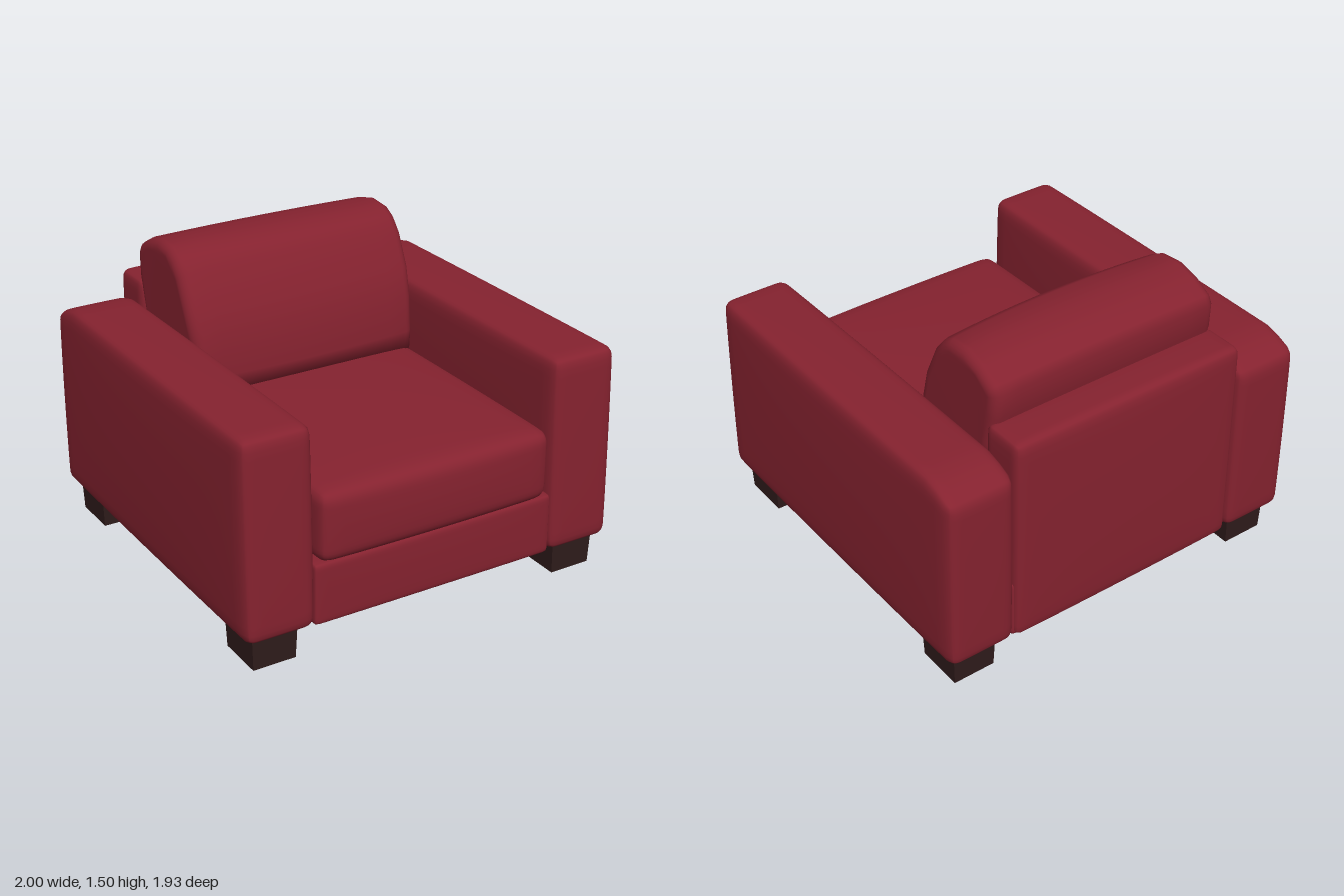
import * as THREE from 'three';
import { mergeVertices } from 'three/addons/utils/BufferGeometryUtils.js';

// Weld vertices so the normals are smooth all over
function smooth(geo) {
  geo.deleteAttribute('uv');
  geo.deleteAttribute('normal');
  geo.clearGroups();
  const merged = mergeVertices(geo, 1e-4);
  merged.computeVertexNormals();
  return merged;
}

// Move every vertex of a geometry by a rule
function deform(geo, rule) {
  const pos = geo.attributes.position;
  const v = new THREE.Vector3();
  for (let i = 0; i < pos.count; i++) {
    v.fromBufferAttribute(pos, i);
    rule(v);
    pos.setXYZ(i, v.x, v.y, v.z);
  }
  return geo;
}

// Upholstered block between two corners, with rounded edges and swelling faces
function paddedBox(min, max, radius, bulge, extraRule) {
  const lo = new THREE.Vector3(...min), hi = new THREE.Vector3(...max);
  const half = hi.clone().sub(lo).multiplyScalar(0.5);
  const centre = lo.clone().add(hi).multiplyScalar(0.5);
  const inner = half.clone().subScalar(radius);
  const outer = inner.clone().negate();
  const ease = (u) => Math.sin((u * Math.PI) / 2);
  const falloff = (u) => Math.max(0, 1 - u * u);
  const geo = new THREE.BoxGeometry(2, 2, 2, 20, 20, 20);
  deform(geo, (v) => {
    v.set(ease(v.x), ease(v.y), ease(v.z)).multiply(half);
    const core = v.clone().clamp(outer, inner);
    v.sub(core).normalize().multiplyScalar(radius).add(core);
    const n = v.clone().divide(half);
    const fx = falloff(n.x), fy = falloff(n.y), fz = falloff(n.z);
    v.x += bulge[0] * n.x * Math.sqrt(fy * fz);
    v.y += bulge[1] * n.y * Math.sqrt(fx * fz);
    v.z += bulge[2] * n.z * Math.sqrt(fx * fy);
    v.add(centre);
    if (extraRule) extraRule(v);
  });
  return smooth(geo);
}

// Leaning back cushion: side profile swept across the seat with soft ends
function backCushionGeometry() {
  const w = 0.62, bevel = 0.05;
  const profile = [
    [-0.19, 0.79], [-0.185, 0.9], [-0.2, 1.08], [-0.245, 1.22], [-0.32, 1.38], [-0.38, 1.45],
    [-0.44, 1.485], [-0.55, 1.495], [-0.66, 1.465], [-0.75, 1.415], [-0.775, 1.37],
    [-0.77, 1.25], [-0.73, 1.1], [-0.69, 0.79],
  ];
  // Shape x is -z, so that the sweep runs along the x axis
  const shape = new THREE.Shape(profile.map(([z, y]) => new THREE.Vector2(-z, y)));
  const geo = new THREE.ExtrudeGeometry(shape, {
    depth: 2 * (w - bevel), steps: 12, bevelEnabled: true,
    bevelThickness: bevel, bevelSize: bevel, bevelOffset: -bevel, bevelSegments: 5,
  });
  geo.translate(0, 0, -(w - bevel));
  geo.rotateY(Math.PI / 2);
  deform(geo, (v) => {
    const across = 1 - (v.x / w) ** 2;
    if (v.z > -0.45) v.z += 0.03 * across;
    if (v.y > 1.35) v.y += 0.008 * across;
    if (v.y < 0.88) v.y += 0.03 * across;
    if (v.y < 1.1) v.x *= 0.985;
  });
  return smooth(geo);
}

export function createModel() {
  const model = new THREE.Group();
  const leather = new THREE.MeshStandardMaterial({ color: 0x85222f });
  leather.name = 'red leather';
  const wood = new THREE.MeshStandardMaterial({ color: 0x2f1c1b });
  wood.name = 'dark wood';

  const add = (name, geo, mat) => {
    const mesh = new THREE.Mesh(geo, mat);
    mesh.name = name;
    model.add(mesh);
    return mesh;
  };

  // Arms: front face leans back a little, top slopes down at the rear
  const armRule = (v) => {
    const t = Math.max(0, (v.y - 0.16) / 0.98);
    if (v.z > 0) v.z -= 0.025 * t * (v.z / 0.95);
    if (v.z < -0.8) v.y -= 0.45 * (-0.8 - v.z) * t ** 3;
  };
  const armBulge = [0.02, 0.005, 0.008];
  add('leftArm', paddedBox([0.635, 0.16, -0.95], [0.98, 1.13, 0.945], 0.05, armBulge, armRule), leather);
  add('rightArm', paddedBox([-0.98, 0.16, -0.95], [-0.635, 1.13, 0.945], 0.05, armBulge, armRule), leather);

  // Frame and cushions
  add('seatBase', paddedBox([-0.64, 0.155, -0.93], [0.64, 0.465, 0.935], 0.025, [0, 0, 0.008]), leather);
  add('backFrame', paddedBox([-0.63, 0.157, -0.95], [0.63, 1.225, -0.72], 0.04, [0, 0.008, 0.016]), leather);
  add('seatCushion', paddedBox([-0.612, 0.455, -0.72], [0.612, 0.8, 0.945], 0.06, [0.006, 0.03, 0.022]), leather);
  add('backCushion', backCushionGeometry(), leather);

  // Four tapered block feet
  for (const sx of [-1, 1]) {
    for (const sz of [-1, 1]) {
      const geo = new THREE.BoxGeometry(0.23, 0.19, 0.25);
      deform(geo, (v) => {
        if (v.y < 0) { v.x *= 0.93; v.z *= 0.95; }
      });
      geo.computeVertexNormals();
      const foot = add((sz > 0 ? 'front' : 'rear') + (sx > 0 ? 'LeftFoot' : 'RightFoot'), geo, wood);
      foot.position.set(sx * 0.815, 0.095, sz * 0.765);
    }
  }
  return model;
}
